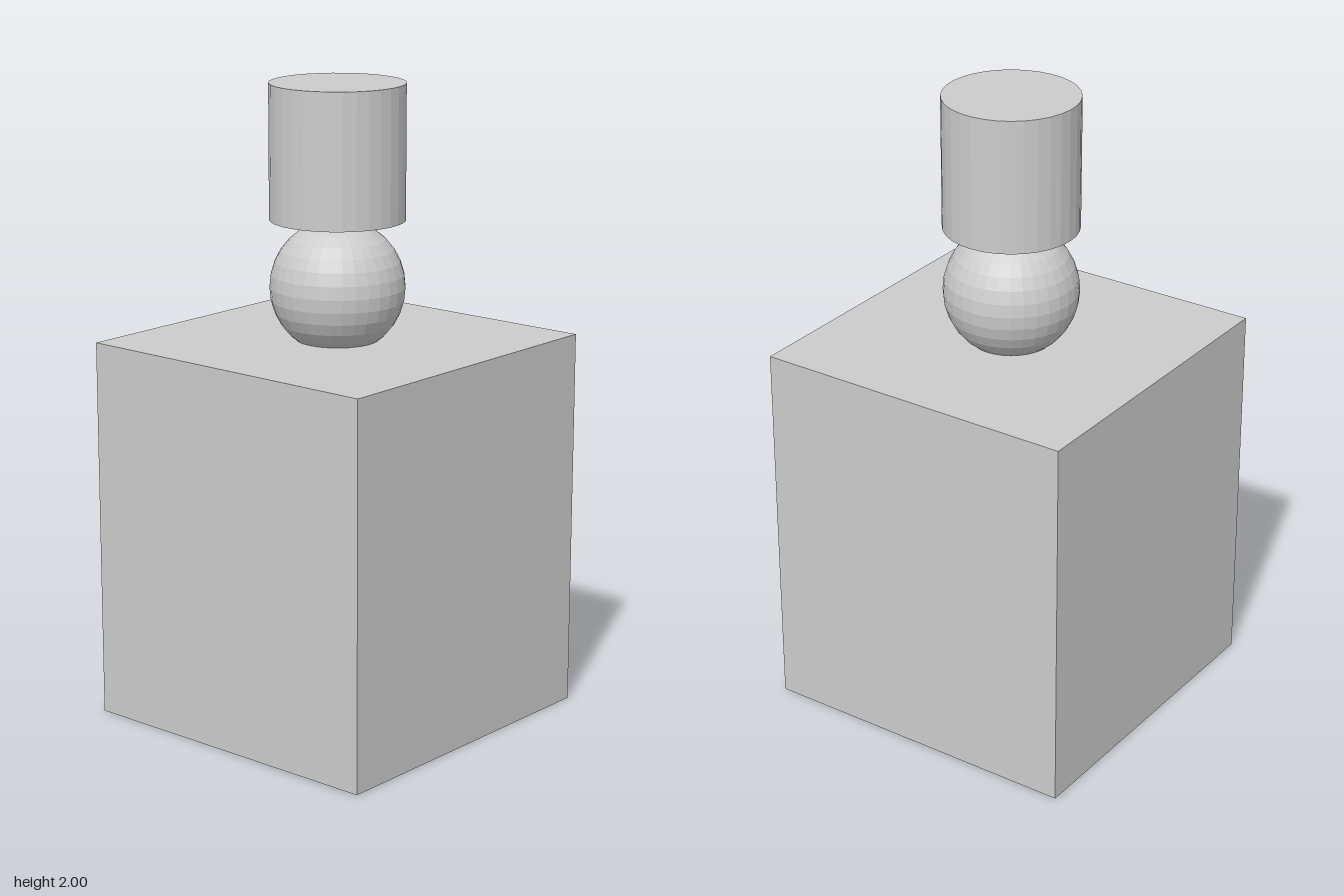
import * as THREE from 'three';

export function createModel() {
  const group = new THREE.Group();
  const grey = new THREE.MeshStandardMaterial({ color: 0xcccccc });
  grey.name = 'light grey';
  grey.flatShading = true;

  const add = (name, geometry, y) => {
    const mesh = new THREE.Mesh(geometry, grey);
    mesh.name = name;
    mesh.position.y = y;
    group.add(mesh);
  };

  const radius = 0.21;
  const baseHeight = 1.205;
  const capHeight = 0.42;

  // Square block standing on the ground
  add('baseBlock', new THREE.BoxGeometry(1.053, baseHeight, 1.053), baseHeight / 2);
  // Ball sunk slightly into the block, touching the cylinder above
  add('ball', new THREE.SphereGeometry(radius, 32, 16), 2 - capHeight - radius);
  // Upright cylinder resting on the ball
  add('topCylinder', new THREE.CylinderGeometry(radius, radius, capHeight, 32), 2 - capHeight / 2);

  return group;
}
